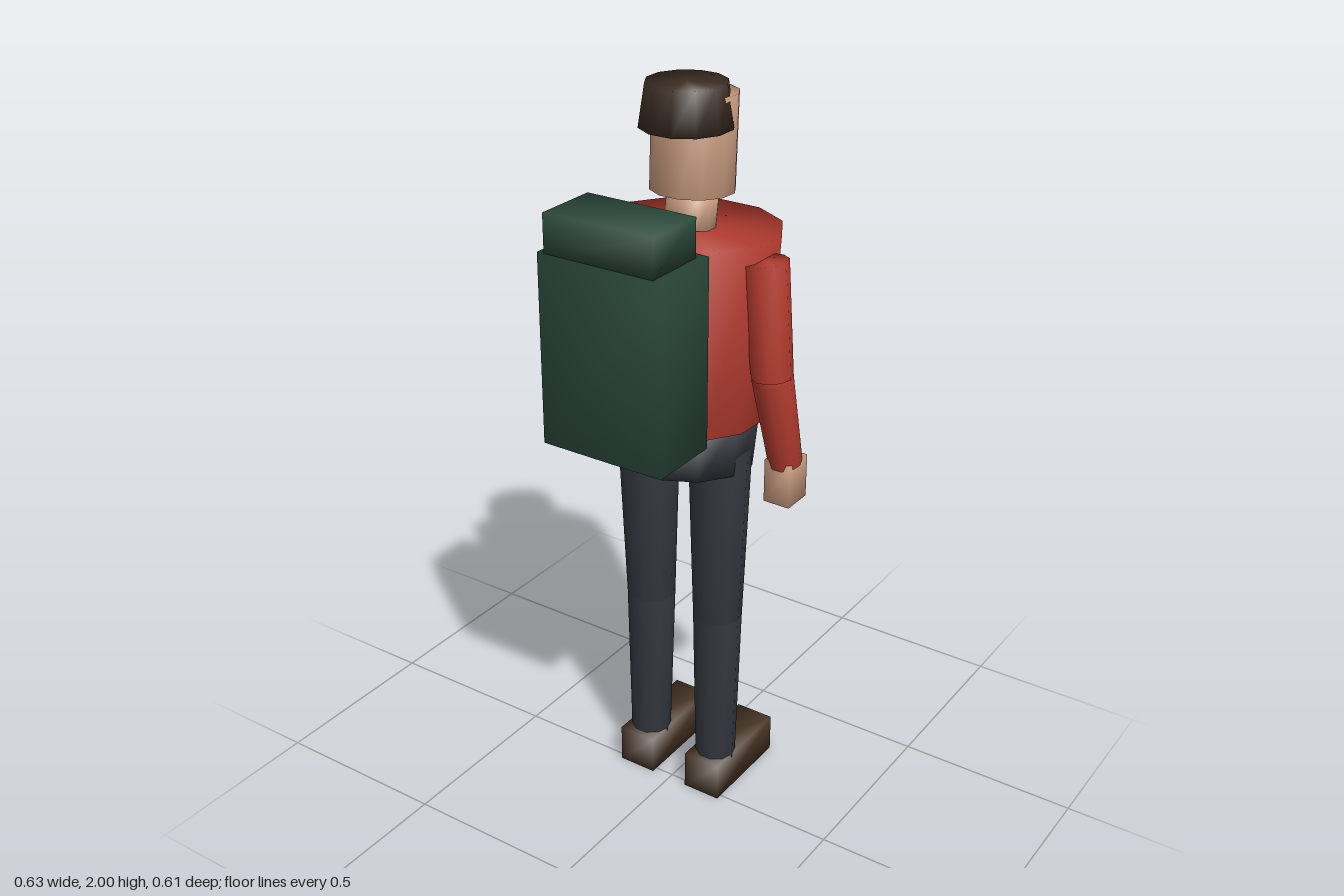
import * as THREE from 'three';
import { mergeVertices } from 'three/addons/utils/BufferGeometryUtils.js';

const COLORS = {
  skin: 0xc99c80, shirt: 0xb53c30, trousers: 0x32363e,
  brown: 0x4a3627, hair: 0x3a2c22, pack: 0x2c4a3c,
};
const UP = new THREE.Vector3(0, 1, 0);

export function createModel() {
  const model = new THREE.Group();
  model.name = 'hiker';

  const materials = {};
  for (const [key, color] of Object.entries(COLORS)) {
    materials[key] = new THREE.MeshStandardMaterial({ color });
  }

  // Shares the corner vertices so shading runs softly over every edge.
  function soften(geometry) {
    geometry.deleteAttribute('normal');
    geometry.deleteAttribute('uv');
    const merged = mergeVertices(geometry, 1e-4);
    merged.computeVertexNormals();
    return merged;
  }

  function add(name, geometry, material) {
    const mesh = new THREE.Mesh(soften(geometry), materials[material]);
    mesh.name = name;
    model.add(mesh);
    return mesh;
  }

  // Tapered faceted segment from one point to another, flat side to the front.
  function segment(name, material, from, rFrom, to, rTo, sides) {
    const a = new THREE.Vector3(...from);
    const b = new THREE.Vector3(...to);
    const axis = b.clone().sub(a);
    const k = 1 / Math.cos(Math.PI / sides);
    const geometry = new THREE.CylinderGeometry(rTo * k, rFrom * k, axis.length(), sides);
    geometry.rotateY(Math.PI / sides);
    const mesh = add(name, geometry, material);
    mesh.position.copy(a).add(b).multiplyScalar(0.5);
    mesh.quaternion.setFromUnitVectors(UP, axis.normalize());
  }

  function block(name, material, size, center) {
    add(name, new THREE.BoxGeometry(...size), material).position.set(...center);
  }

  // Trunk and head, leaning slightly forward
  segment('pelvis', 'trousers', [0, 1.02, -0.055], 0.18, [0, 1.17, -0.065], 0.19, 12);
  segment('torso', 'shirt', [0, 1.15, -0.06], 0.205, [0, 1.64, -0.08], 0.225, 12);
  segment('neck', 'skin', [0, 1.637, -0.077], 0.064, [0, 1.718, -0.09], 0.064, 12);
  segment('head', 'skin', [0, 1.73, -0.088], 0.104, [0, 1.97, -0.099], 0.104, 12);
  segment('hair', 'hair', [0, 1.893, -0.06], 0.114, [0, 2, -0.06], 0.098, 12);

  // Backpack with lid
  block('backpack', 'pack', [0.35, 0.5, 0.2], [0, 1.4, 0.205]);
  block('backpackLid', 'pack', [0.31, 0.1, 0.175], [0, 1.7, 0.2175]);

  // Arms and legs, mirrored
  for (const s of [1, -1]) {
    const side = s > 0 ? 'left' : 'right';

    segment(side + 'UpperArm', 'shirt', [s * 0.262, 1.305, -0.053], 0.05, [s * 0.23, 1.602, -0.055], 0.057, 10);
    segment(side + 'Forearm', 'shirt', [s * 0.268, 1.045, -0.12], 0.042, [s * 0.262, 1.305, -0.053], 0.05, 10);
    block(side + 'Hand', 'skin', [0.075, 0.12, 0.086], [s * 0.267, 0.995, -0.125]);

    segment(side + 'Thigh', 'trousers', [s * 0.109, 0.56, -0.058], 0.063, [s * 0.112, 1.07, -0.055], 0.079, 10);
    segment(side + 'Shin', 'trousers', [s * 0.11, 0.1, -0.055], 0.053, [s * 0.109, 0.56, -0.058], 0.063, 10);
    block(side + 'Shoe', 'brown', [0.11, 0.11, 0.285], [s * 0.11, 0.055, -0.125]);
  }

  return model;
}
